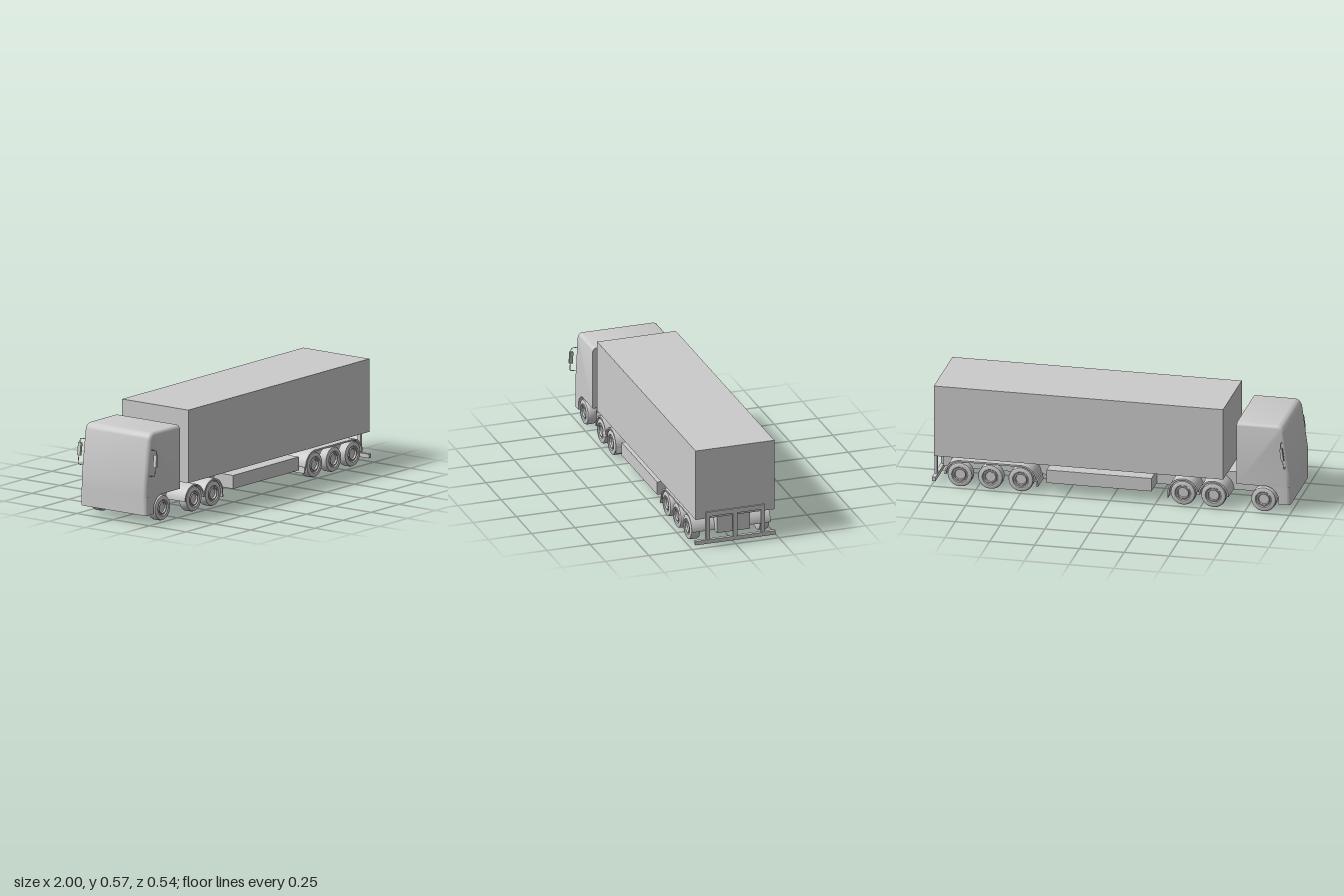
import * as THREE from 'three';
import { toCreasedNormals } from 'three/addons/utils/BufferGeometryUtils.js';

const HALF = 0.227; // half width of cab and trailer
const FENDER_R = 0.085, WHEEL_R = 0.07;

export function createModel() {
  const model = new THREE.Group();
  model.name = 'semiTruck';
  const mat = new THREE.MeshStandardMaterial({ color: 0xcccccc });

  const add = (name, geo, parent = model) => {
    const m = new THREE.Mesh(geo, mat);
    m.name = name;
    parent.add(m);
    return m;
  };
  // Box given by its limits on each axis
  const box = (name, x0, x1, y0, y1, z0, z1, parent = model) => {
    const m = add(name, new THREE.BoxGeometry(x1 - x0, y1 - y0, z1 - z0), parent);
    m.position.set((x0 + x1) / 2, (y0 + y1) / 2, (z0 + z1) / 2);
    return m;
  };
  // Side profile extruded between two z values
  const slab = (name, shape, z0, z1, parent = model) => {
    const g = new THREE.ExtrudeGeometry(shape, { depth: z1 - z0, bevelEnabled: false, curveSegments: 24 });
    g.translate(0, 0, z0);
    return add(name, toCreasedNormals(g, 0.5), parent);
  };

  // Cab: rounded side profile, cut flat at the given limits
  const cabPart = (name, yMin, xMax) => {
    const s = new THREE.Shape();
    s.moveTo(-0.6, 0);
    s.lineTo(-0.6, 0.505);
    s.lineTo(-0.92, 0.505);
    s.bezierCurveTo(-0.945, 0.505, -0.962, 0.492, -0.967, 0.46);
    s.lineTo(-1, 0.22);
    s.lineTo(-1, 0);
    s.closePath();
    const b = 0.024;
    const g = new THREE.ExtrudeGeometry(s, {
      depth: 2 * (HALF - b), bevelThickness: b, bevelSize: b, bevelOffset: -b, bevelSegments: 6, curveSegments: 10,
    });
    g.translate(0, 0, b - HALF);
    const p = g.attributes.position;
    for (let i = 0; i < p.count; i++) {
      p.setX(i, Math.min(p.getX(i), xMax));
      let y = Math.max(p.getY(i), yMin);
      if (yMin < 0.1) y = Math.min(y, 0.155);
      p.setY(i, y);
      // keep the lower piece upright below the windscreen
      if (yMin < 0.1 && p.getY(i) > 0.15) p.setX(i, Math.max(-1, Math.min(p.getX(i), xMax)));
    }
    return add(name, toCreasedNormals(g, 0.5));
  };
  cabPart('cab', 0.15, -0.7);

  // Bumper: rounded plan below the cab, with the front part of the wheel arch
  const plan = new THREE.Shape();
  plan.moveTo(-0.935, -HALF);
  plan.lineTo(-0.935, HALF);
  plan.lineTo(-0.976, HALF);
  plan.quadraticCurveTo(-1, HALF, -1, HALF - 0.024);
  plan.lineTo(-1, 0.024 - HALF);
  plan.quadraticCurveTo(-1, -HALF, -0.976, -HALF);
  plan.closePath();
  const bumper = new THREE.ExtrudeGeometry(plan, { depth: 0.1, bevelEnabled: false });
  bumper.rotateX(-Math.PI / 2).translate(0, 0.05, 0);
  add('frontBumper', toCreasedNormals(bumper, 0.5));

  const arch = new THREE.Shape();
  arch.moveTo(-0.936, 0.15);
  arch.lineTo(-0.936, 0.07);
  arch.quadraticCurveTo(-0.93, 0.135, -0.87, 0.15);
  arch.closePath();
  slab('frontWheelArch', arch, -HALF, HALF);

  // Chassis and trailer
  box('tractorChassis', -0.936, -0.3, 0.065, 0.168, -0.095, 0.095);
  box('frontAxleMount', -0.89, -0.81, 0.045, 0.066, -0.08, 0.08);
  box('trailerChassis', -0.3, 0.965, 0.062, 0.169, -0.095, 0.095);
  box('sideLocker', -0.225, 0.36, 0.065, 0.14, -HALF, HALF);
  box('trailerBody', -0.625, 0.99, 0.168, 0.575, -HALF, HALF);

  // Wheels: tyre, recessed rim and raised hub ring
  const profile = [
    [0, -0.0285], [0.042, -0.0285], [0.06, -0.0285], [0.067, -0.025], [WHEEL_R, -0.018],
    [WHEEL_R, 0.018], [0.067, 0.025], [0.06, 0.0285], [0.045, 0.0285], [0.041, 0.022],
    [0.036, 0.022], [0.033, 0.027], [0.03, 0.027], [0.028, 0.016], [0, 0.016],
  ].map(([r, h]) => new THREE.Vector2(r, h));
  const wheelGeo = toCreasedNormals(new THREE.LatheGeometry(profile, 40).rotateX(Math.PI / 2), 0.6);
  const axleGeo = new THREE.CylinderGeometry(0.013, 0.013, 0.36, 16).rotateX(Math.PI / 2);
  for (const x of [-0.85, -0.57, -0.4, 0.505, 0.675, 0.845]) {
    const axle = new THREE.Group();
    axle.name = 'axle';
    axle.position.set(x, WHEEL_R, 0);
    model.add(axle);
    add('axleShaft', axleGeo, axle);
    for (const s of [1, -1]) {
      const w = add('wheel', wheelGeo, axle);
      w.position.z = s * 0.1985;
      if (s < 0) w.rotation.y = Math.PI;
    }
  }

  // Fenders: thin arches spanning the wheels from x0 to x1
  const fender = (x0, x1) => {
    const s = new THREE.Shape(), y = 0.068, r = FENDER_R - 0.009;
    s.moveTo(x0 - FENDER_R, y);
    s.absarc(x0, y, FENDER_R, Math.PI, Math.PI / 2, true);
    s.absarc(x1, y, FENDER_R, Math.PI / 2, 0, true);
    s.lineTo(x1 + r, y);
    s.absarc(x1, y, r, 0, Math.PI / 2, false);
    s.absarc(x0, y, r, Math.PI / 2, Math.PI, false);
    s.closePath();
    slab('fender', s, 0.095, HALF);
    slab('fender', s, -HALF, -0.095);
  };
  fender(-0.57, -0.57);
  fender(-0.4, -0.4);
  fender(0.505, 0.845);

  for (const s of [1, -1]) {
    // Mud flaps at the fender ends
    for (const [x, lean] of [[-0.318, 0.15], [0.414, -0.15]]) {
      const flap = box('mudFlap', x - 0.004, x + 0.004, 0.037, 0.072, 0.095, HALF);
      flap.position.z *= s;
      flap.rotation.z = lean;
    }

    // Mirror: bent tube bracket leaning with the windscreen, and its head
    const mirror = new THREE.Group();
    mirror.name = 'mirror';
    mirror.position.set(-0.962, 0.34, 0);
    mirror.rotation.z = -0.136;
    model.add(mirror);
    const v = (y, z) => new THREE.Vector3(0, y, s * z);
    const path = new THREE.CurvePath();
    path.add(new THREE.LineCurve3(v(0.072, 0.19), v(0.072, 0.248)));
    path.add(new THREE.QuadraticBezierCurve3(v(0.072, 0.248), v(0.072, 0.263), v(0.057, 0.263)));
    path.add(new THREE.LineCurve3(v(0.057, 0.263), v(-0.057, 0.263)));
    path.add(new THREE.QuadraticBezierCurve3(v(-0.057, 0.263), v(-0.072, 0.263), v(-0.072, 0.248)));
    path.add(new THREE.LineCurve3(v(-0.072, 0.248), v(-0.072, 0.19)));
    add('mirrorBracket', new THREE.TubeGeometry(path, 60, 0.002, 8), mirror);
    const head = box('mirrorHead', -0.007, 0.007, -0.022, 0.048, 0.25, 0.27, mirror);
    head.position.z *= s;

    // Rear guard uprights
    const post = box('guardPost', 0.985, 0.998, 0.04, 0.207, 0.148, 0.17);
    post.position.z *= s;
  }

  // Rear guard bars
  box('guardTopBar', 0.985, 0.998, 0.18, 0.207, -0.148, 0.148);
  box('guardCentrePost', 0.985, 0.998, 0.04, 0.18, -0.013, 0.013);
  box('guardBumper', 0.98, 1, 0.022, 0.045, -0.23, 0.23);

  return model;
}
